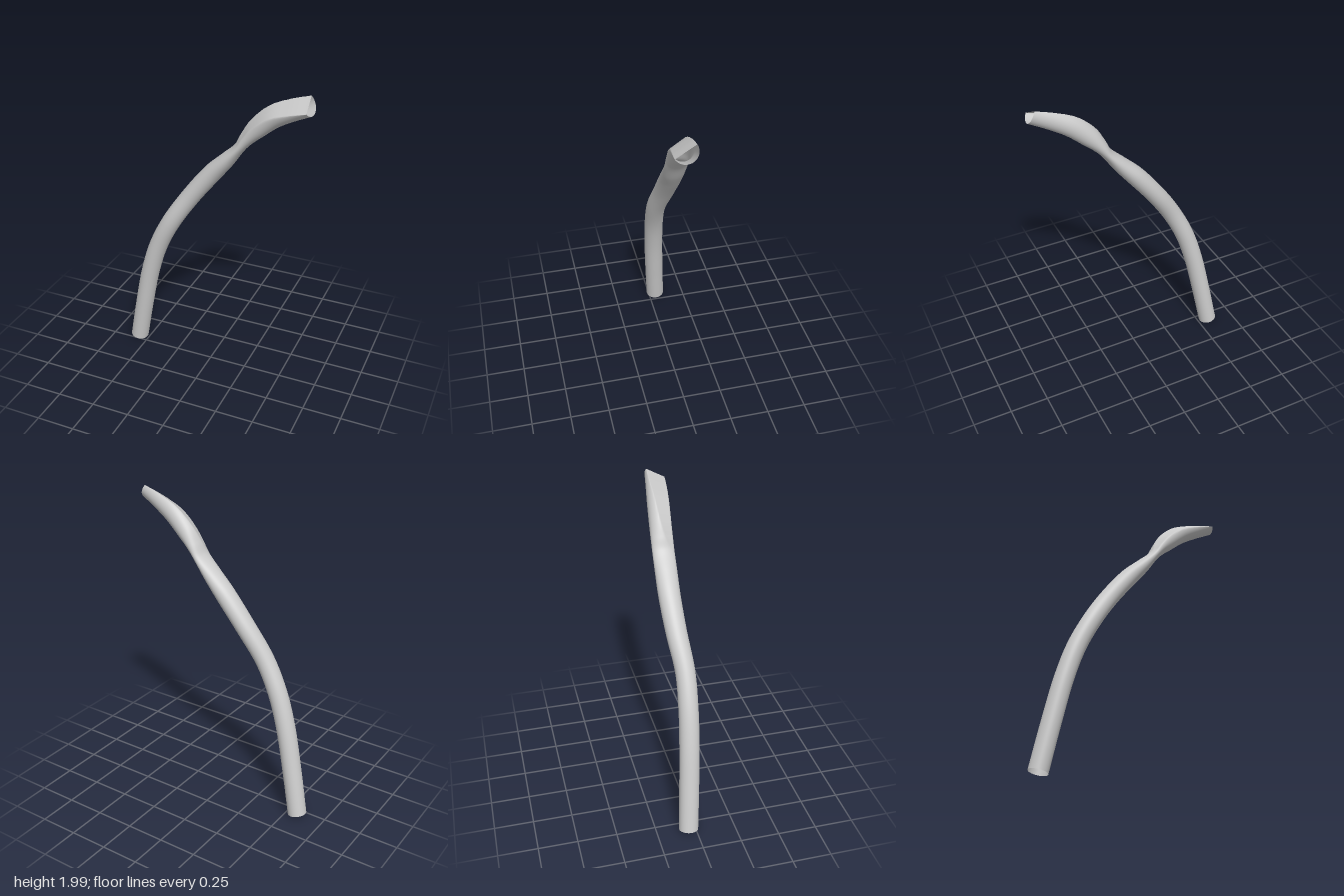
import * as THREE from 'three';

// One station per row: centre x, y, z, then section radii (in-plane, sideways)
// and the height at which the upper face is pressed flat
const stations = [
  [-0.572, 0.018, -0.047, 0.060, 0.062, 0.09],
  [-0.515, 0.300, -0.030, 0.060, 0.063, 0.09],
  [-0.447, 0.600, -0.013, 0.060, 0.063, 0.09],
  [-0.375, 0.820, -0.002, 0.060, 0.062, 0.09],
  [-0.275, 1.020, 0.003, 0.060, 0.062, 0.09],
  [-0.140, 1.225, -0.018, 0.060, 0.066, 0.09],
  [0.000, 1.405, -0.025, 0.059, 0.069, 0.08],
  [0.100, 1.515, -0.020, 0.048, 0.070, 0.065],
  [0.182, 1.612, -0.016, 0.034, 0.070, 0.045],
  [0.230, 1.682, -0.014, 0.045, 0.070, 0.045],
  [0.292, 1.757, -0.009, 0.062, 0.070, 0.048],
  [0.390, 1.848, 0.003, 0.070, 0.070, 0.040],
  [0.500, 1.913, 0.021, 0.070, 0.070, 0.020],
  [0.610, 1.966, 0.040, 0.068, 0.071, -0.002],
];
const RINGS = 130;
const SIDES = 48;
const TILT = 0.49; // the pressed face leans toward the front

function buildTube() {
  const path = new THREE.CatmullRomCurve3(stations.map(s => new THREE.Vector3(s[0], s[1], s[2])));
  const sizes = new THREE.CatmullRomCurve3(
    stations.map(s => new THREE.Vector3(s[3], s[4], s[5])), false, 'catmullrom', 0.5);
  const positions = [];
  const indices = [];
  const side = new THREE.Vector3(0, 0, 1);

  for (let i = 0; i <= RINGS; i++) {
    const t = i / RINGS;
    const centre = path.getPoint(t);
    const size = sizes.getPoint(t);
    const tangent = path.getTangent(t);
    const up = new THREE.Vector3().crossVectors(side, tangent).normalize();
    const across = new THREE.Vector3().crossVectors(tangent, up);
    for (let j = 0; j < SIDES; j++) {
      const angle = (j / SIDES) * Math.PI * 2;
      let u = size.x * Math.cos(angle);
      let v = size.y * Math.sin(angle);
      // Press everything above the flat limit down onto it
      const excess = Math.max(0, u * Math.cos(TILT) + v * Math.sin(TILT) - size.z);
      u -= excess * Math.cos(TILT);
      v -= excess * Math.sin(TILT);
      const p = centre.clone().addScaledVector(up, u).addScaledVector(across, v);
      positions.push(p.x, p.y, p.z);
      if (i < RINGS) {
        const a = i * SIDES + j;
        const b = i * SIDES + ((j + 1) % SIDES);
        indices.push(a, b, a + SIDES, b, b + SIDES, a + SIDES);
      }
    }
  }

  const geometry = new THREE.BufferGeometry();
  geometry.setAttribute('position', new THREE.Float32BufferAttribute(positions, 3));
  geometry.setIndex(indices);
  geometry.computeVertexNormals();
  return geometry;
}

export function createModel() {
  const group = new THREE.Group();
  group.name = 'bentTube';
  // Open-ended tube wall, visible from inside and outside
  const material = new THREE.MeshStandardMaterial({ color: 0xcccccc, side: THREE.DoubleSide });
  const tube = new THREE.Mesh(buildTube(), material);
  tube.name = 'tubeWall';
  group.add(tube);
  return group;
}
